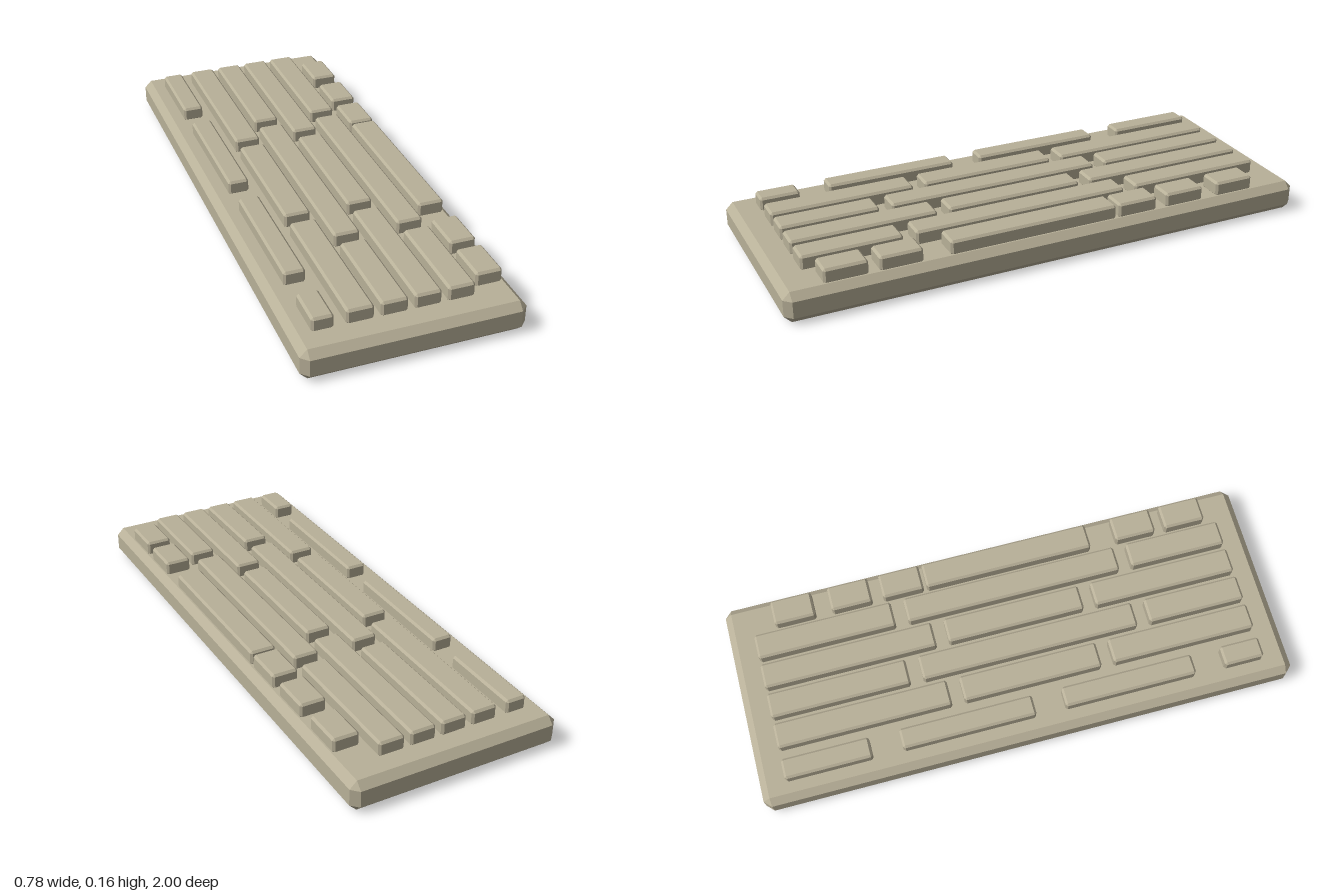
import * as THREE from 'three';
import { ConvexGeometry } from 'three/addons/geometries/ConvexGeometry.js';

const plastic = new THREE.MeshStandardMaterial({ color: 0xb8b098 });
plastic.name = 'beige plastic';

// Box with every edge cut by a flat chamfer
function chamferBox(name, [x0, x1], [y0, y1], [z0, z1], bevel) {
  const half = [(x1 - x0) / 2, (y1 - y0) / 2, (z1 - z0) / 2];
  const points = [];
  for (const sx of [-1, 1]) for (const sy of [-1, 1]) for (const sz of [-1, 1]) {
    const sign = [sx, sy, sz];
    for (let face = 0; face < 3; face++) {
      const p = half.map((h, i) => sign[i] * (i === face ? h : h - bevel));
      points.push(new THREE.Vector3(...p));
    }
  }
  const mesh = new THREE.Mesh(new ConvexGeometry(points), plastic);
  mesh.name = name;
  mesh.position.set((x0 + x1) / 2, (y0 + y1) / 2, (z0 + z1) / 2);
  return mesh;
}

export function createModel() {
  const model = new THREE.Group();
  model.name = 'keyboard';

  // Case
  model.add(chamferBox('case', [-0.39, 0.39], [0, 0.113], [-1, 1], 0.026));

  // Key rows: the blocks run along z, each span is one block of keys
  const brickA = [[-0.903, -0.257], [-0.21, 0.31], [0.357, 0.898]];
  const brickB = [[-0.903, -0.384], [-0.336, 0.484], [0.532, 0.898]];
  const rows = [
    { name: 'functionRow', x: [-0.322, -0.246], top: 0.161,
      spans: [[-0.903, -0.58], [-0.468, 0.029], [0.14, 0.637], [0.749, 0.898]] },
    { name: 'numberRow', x: [-0.205, -0.11], spans: brickA },
    { name: 'upperRow', x: [-0.087, 0.007], spans: brickB },
    { name: 'homeRow', x: [0.03, 0.124], spans: brickA },
    { name: 'lowerRow', x: [0.147, 0.242], spans: brickB },
    { name: 'spaceRow', x: [0.264, 0.36],
      spans: [[-0.819, -0.664], [-0.602, -0.447], [-0.405, -0.249],
        [-0.237, 0.405], [0.505, 0.661], [0.7, 0.857]] },
  ];
  for (const { name, x, spans, top = 0.163 } of rows) {
    const row = new THREE.Group();
    row.name = name;
    spans.forEach((z, i) => row.add(chamferBox(`keyBlock${i + 1}`, x, [0.107, top], z, 0.008)));
    model.add(row);
  }
  return model;
}
